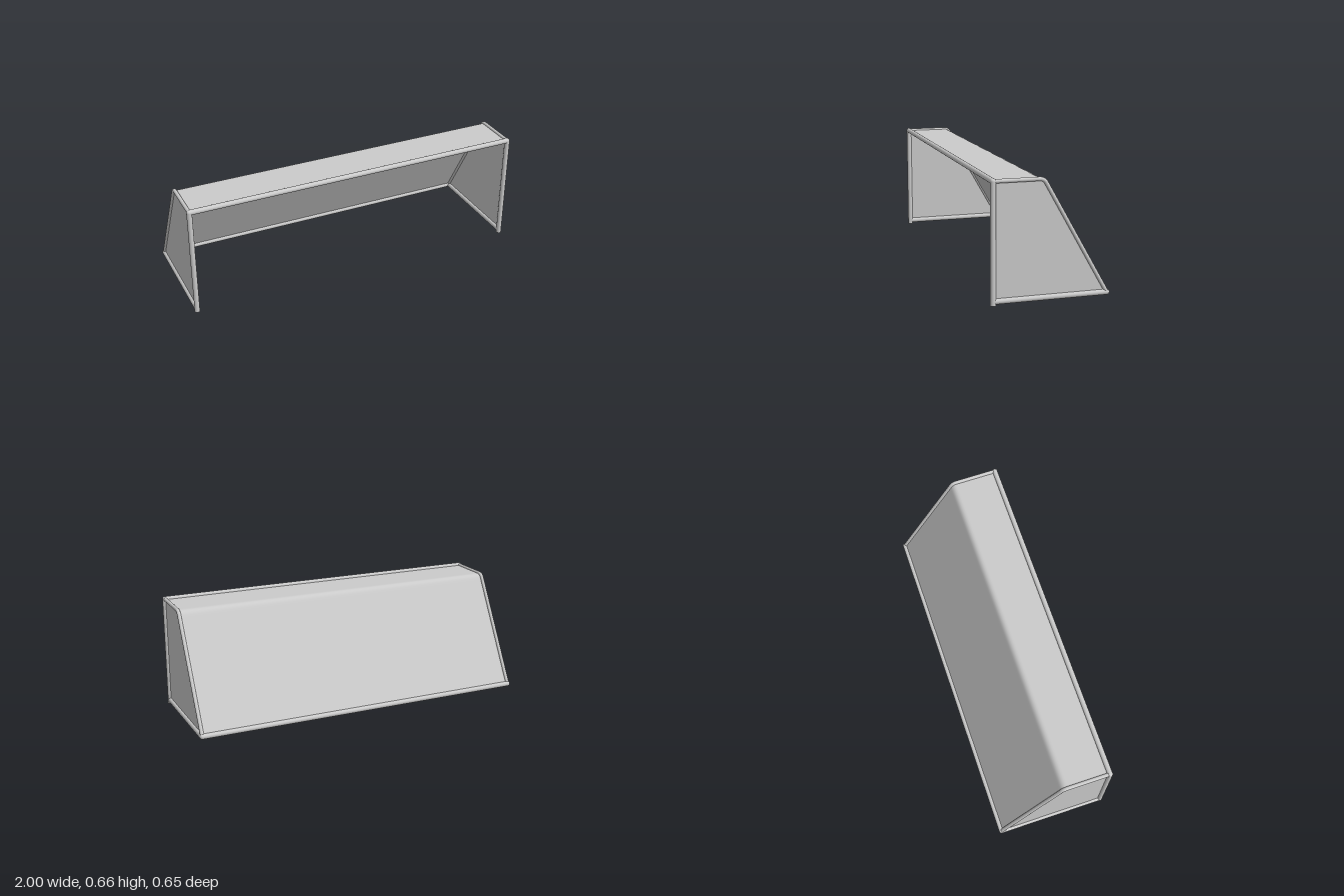
import * as THREE from 'three';

export function createModel() {
  const group = new THREE.Group();
  const mat = new THREE.MeshStandardMaterial({ color: 0xcccccc });
  const sheetMat = new THREE.MeshStandardMaterial({ color: 0xcccccc, side: THREE.DoubleSide });
  const X = 0.985, FRONT = 0.31, REAR = -0.31, TOP = 0.641, LOW = 0.021, R = 0.015;

  const add = (name, geometry, material = mat) => {
    const mesh = new THREE.Mesh(geometry, material);
    mesh.name = name;
    group.add(mesh);
    return mesh;
  };
  const bar = (name, a, b, r = R) => {
    const from = new THREE.Vector3(...a), to = new THREE.Vector3(...b);
    const dir = to.clone().sub(from);
    const mesh = add(name, new THREE.CylinderGeometry(r, r, dir.length(), 20));
    mesh.position.copy(from).add(to).multiplyScalar(0.5);
    mesh.quaternion.setFromUnitVectors(new THREE.Vector3(0, 1, 0), dir.normalize());
  };
  const joint = (name, x, y, z) =>
    add(name, new THREE.SphereGeometry(R, 20, 14)).position.set(x, y, z);

  // Side outline: along the top, round the bend, down the sloping back
  const v = (z, y) => new THREE.Vector3(0, y, z);
  const outline = new THREE.CurvePath();
  outline.add(new THREE.LineCurve3(v(FRONT, TOP), v(0.063, TOP)));
  outline.add(new THREE.QuadraticBezierCurve3(v(0.063, TOP), v(0.042, TOP), v(0.029, 0.619)));
  outline.add(new THREE.LineCurve3(v(0.029, 0.619), v(REAR, LOW)));
  const points = outline.getSpacedPoints(90);

  // Front and rear cross members
  bar('crossbar', [-X, TOP, FRONT], [X, TOP, FRONT]);
  bar('rearGroundBar', [-X, LOW, REAR], [X, LOW, REAR]);

  // End frames with their net panels
  const panel = new THREE.Shape(points.map(p => new THREE.Vector2(p.z, p.y)));
  panel.lineTo(FRONT, LOW);
  for (const [side, x] of [['left', X], ['right', -X]]) {
    bar(side + 'Post', [x, 0, FRONT], [x, TOP, FRONT]);
    bar(side + 'GroundBar', [x, LOW, FRONT], [x, LOW, REAR]);
    joint(side + 'TopJoint', x, TOP, FRONT);
    joint(side + 'RearJoint', x, LOW, REAR);
    add(side + 'BackStay', new THREE.TubeGeometry(outline, 90, 0.011, 16)).position.x = x;
    add(side + 'NetPanel', new THREE.ShapeGeometry(panel).rotateY(-Math.PI / 2), sheetMat).position.x = x;
  }

  // Net sheet over the top and back, bent along the side outline
  const sheet = new THREE.PlaneGeometry(2 * X, 1, 1, 90);
  const pos = sheet.attributes.position;
  for (let i = 0; i < pos.count; i++) {
    const p = points[Math.floor(i / 2)];
    pos.setXYZ(i, -pos.getX(i), p.y, p.z);
  }
  sheet.computeVertexNormals();
  add('backNet', sheet, sheetMat);

  return group;
}
